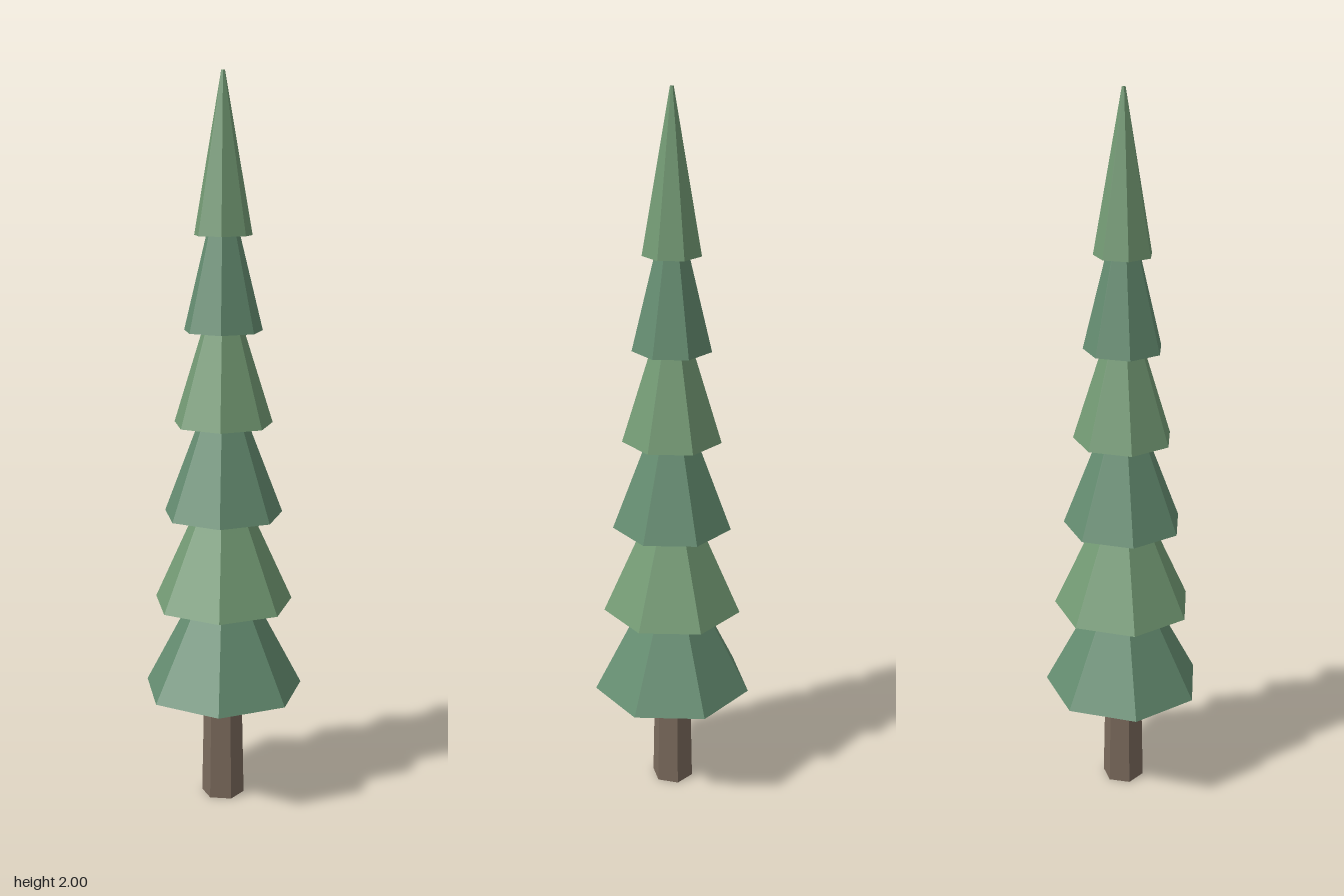
import * as THREE from 'three';

const CENTRE_Z = 0.01;

function foliageMaterial(color) {
  return new THREE.MeshStandardMaterial({ color, flatShading: true, side: THREE.DoubleSide });
}

export function createModel() {
  const tree = new THREE.Group();
  tree.name = 'pineTree';

  // Open, tapering column of faceted sides
  function addFrustum(name, topRadius, bottomRadius, bottomY, height, sides, turn, material) {
    const geometry = new THREE.CylinderGeometry(topRadius, bottomRadius, height, sides, 1, true);
    geometry.rotateY(turn);
    const mesh = new THREE.Mesh(geometry, material);
    mesh.name = name;
    mesh.position.set(0, bottomY + height / 2, CENTRE_Z);
    tree.add(mesh);
  }

  // Six-sided trunk, its upper end hidden inside the lowest branches
  addFrustum('trunk', 0.047, 0.06, 0, 0.6, 6, 0, foliageMaterial(0x7a6a5c));

  // Seven-sided branch tiers in two alternating greens, a corner towards the back
  const greens = [foliageMaterial(0x648c70), foliageMaterial(0x739a74)];
  const tiers = 6;
  for (let i = 0; i < tiers; i++) {
    const radius = 0.225 - 0.0291 * i;
    const bottomY = 0.317 + 0.2526 * i;
    addFrustum(`branchTier${i + 1}`, 0.005, radius, bottomY, 0.42, 7, Math.PI, greens[i % 2]);
  }

  return tree;
}
